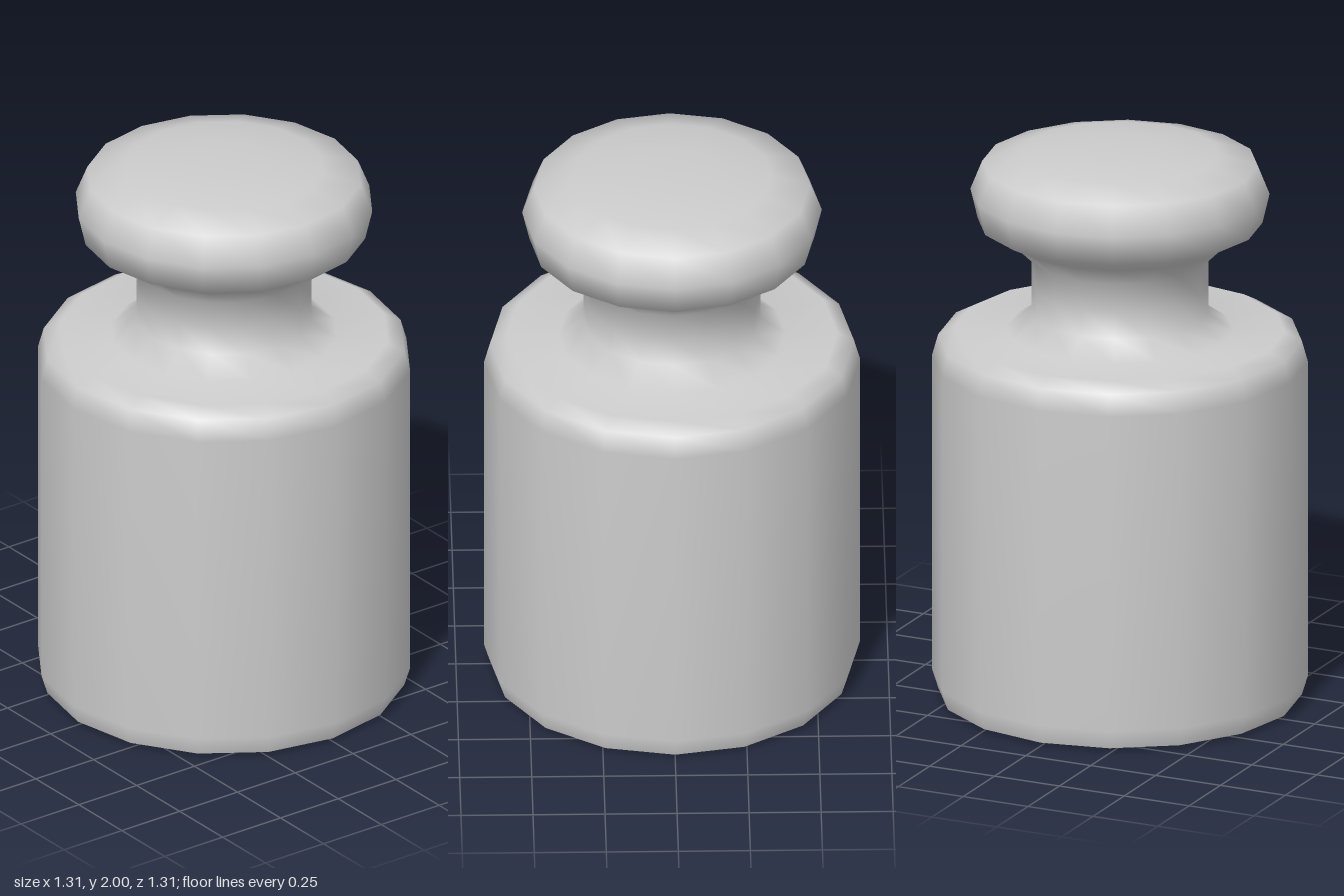
import * as THREE from 'three';

const SIDES = 16;

// Revolve a bottom-to-top [radius, height] profile into a named, smooth-shaded part.
function turned(name, profile, material) {
  const points = profile.map(([r, y]) => new THREE.Vector2(r, y));
  const mesh = new THREE.Mesh(new THREE.LatheGeometry(points, SIDES), material);
  mesh.name = name;
  return mesh;
}

export function createModel() {
  const material = new THREE.MeshStandardMaterial({ color: 0xcccccc });
  const group = new THREE.Group();
  group.name = 'calibrationWeight';

  group.add(
    // Very slightly convex underside with a crisp rim
    turned('base', [[0, 0], [0.33, 0.006], [0.632, 0.012]], material),

    // Cylindrical body, rounded shoulder and the flare up to the neck
    turned('body', [
      [0.632, 0.012], [0.653, 0.08], [0.653, 1.23], [0.632, 1.305],
      [0.574, 1.336], [0.395, 1.338], [0.307, 1.4], [0.307, 1.5],
    ], material),

    // Upper neck and the domed knob; the seam sits on the straight neck wall
    turned('knob', [
      [0.307, 1.5], [0.307, 1.6], [0.384, 1.675], [0.495, 1.733], [0.52, 1.84],
      [0.479, 1.942], [0.347, 1.98], [0.16, 2], [0, 2],
    ], material),
  );
  return group;
}
